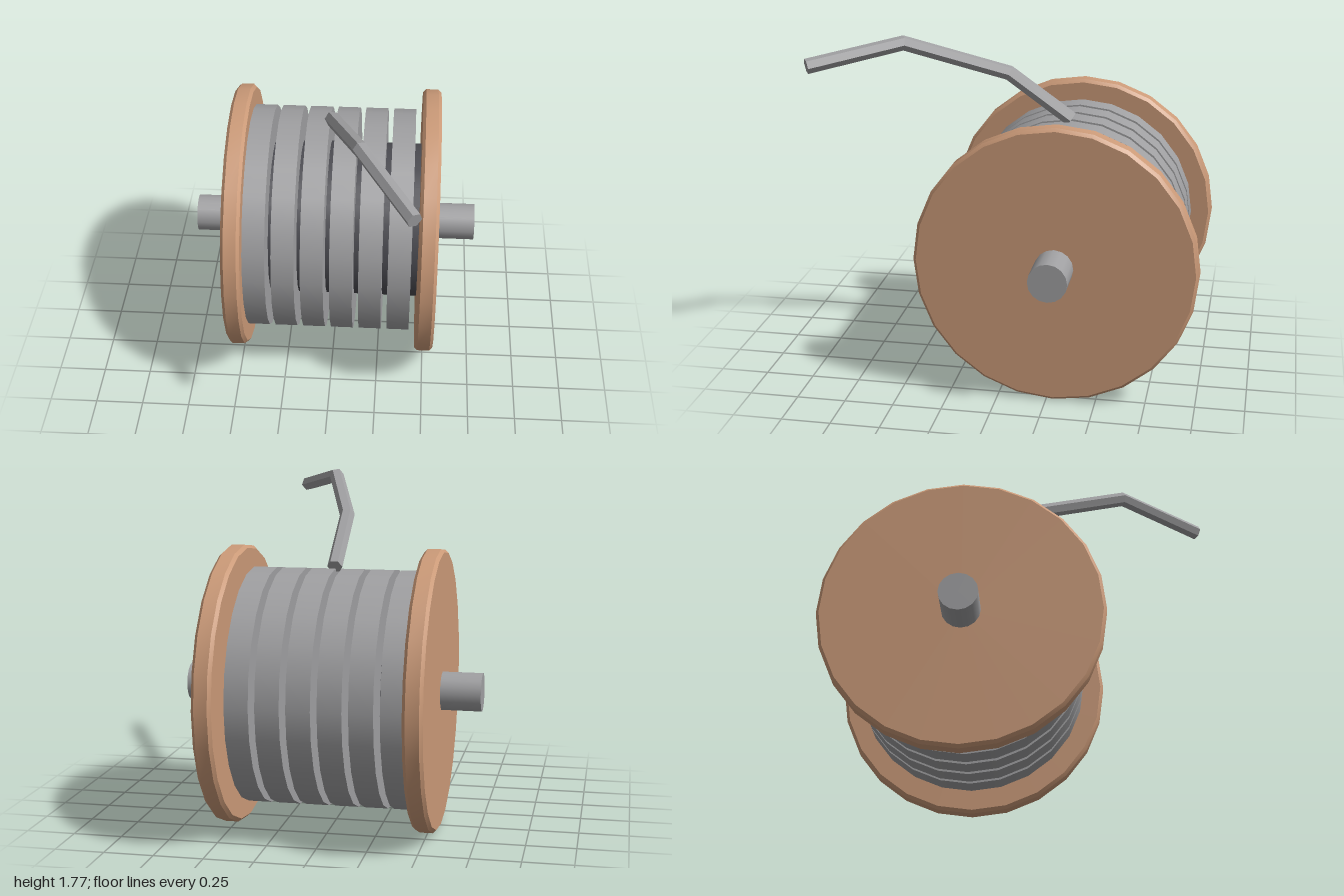
import * as THREE from 'three';
import { toCreasedNormals } from 'three/addons/utils/BufferGeometryUtils.js';

const material = (name, color) => {
  const m = new THREE.MeshStandardMaterial({ color });
  m.name = name;
  return m;
};

// Bevelled disc turned around the y axis
function flangeGeometry(radius, halfWidth, bevel) {
  const profile = [
    [0, -halfWidth], [radius - bevel, -halfWidth], [radius, -halfWidth + bevel],
    [radius, halfWidth - bevel], [radius - bevel, halfWidth], [0, halfWidth],
  ].map(([x, y]) => new THREE.Vector2(x, y));
  return toCreasedNormals(new THREE.LatheGeometry(profile, 24), 0.4);
}

// Faceted hexagonal wire with mitred bends at the given points and closed ends
function wireGeometry(points, radius) {
  const curve = new THREE.CatmullRomCurve3(points);
  curve.getPointAt = (t, target) => curve.getPoint(t, target);
  curve.getTangentAt = (t, target) => curve.getTangent(t, target);
  const sides = 6, bends = points.length - 1;
  const tube = new THREE.TubeGeometry(curve, bends, radius, sides, false);
  const index = Array.from(tube.index.array);
  const last = bends * (sides + 1);
  for (let j = 1; j < sides - 1; j++) {
    index.push(0, j, j + 1, last, last + j + 1, last + j);
  }
  tube.setIndex(index);
  const flat = tube.toNonIndexed();
  flat.computeVertexNormals();
  return flat;
}

export function createModel() {
  const model = new THREE.Group();
  model.name = 'cableSpool';
  const wood = material('tan wood', 0xcb9a78);
  const steel = material('grey metal', 0xa0a0a2);
  const dark = material('dark core', 0x4c4c52);

  // The reel lies on its side, with its axis along x
  const reel = new THREE.Group();
  reel.name = 'reel';
  reel.position.set(0, 0.715, -0.285);
  model.add(reel);

  const addTurned = (name, geometry, mat, x) => {
    const mesh = new THREE.Mesh(geometry, mat);
    mesh.name = name;
    mesh.rotation.z = -Math.PI / 2;
    mesh.position.x = x;
    reel.add(mesh);
  };

  addTurned('axle', new THREE.CylinderGeometry(0.098, 0.098, 1.51, 16), steel, 0);
  addTurned('core', new THREE.CylinderGeometry(0.418, 0.418, 0.96, 24), dark, 0);

  const flange = flangeGeometry(0.715, 0.049, 0.016);
  addTurned('leftFlange', flange, wood, 0.502);
  addTurned('rightFlange', flange, wood, -0.503);

  // Wound cable turns, starting against the right flange
  const turn = new THREE.CylinderGeometry(0.605, 0.605, 0.119, 24);
  for (let i = 0; i < 6; i++) addTurned(`cableTurn${i + 1}`, turn, steel, -0.396 + i * 0.151);

  // Loose end of the cable
  const looseEnd = new THREE.Mesh(wireGeometry([
    new THREE.Vector3(0, 1.33, -0.285),
    new THREE.Vector3(0, 1.56, 0.04),
    new THREE.Vector3(0.16, 1.73, 0.555),
    new THREE.Vector3(0.42, 1.65, 0.985),
  ], 0.039), steel);
  looseEnd.name = 'looseCableEnd';
  model.add(looseEnd);

  return model;
}
